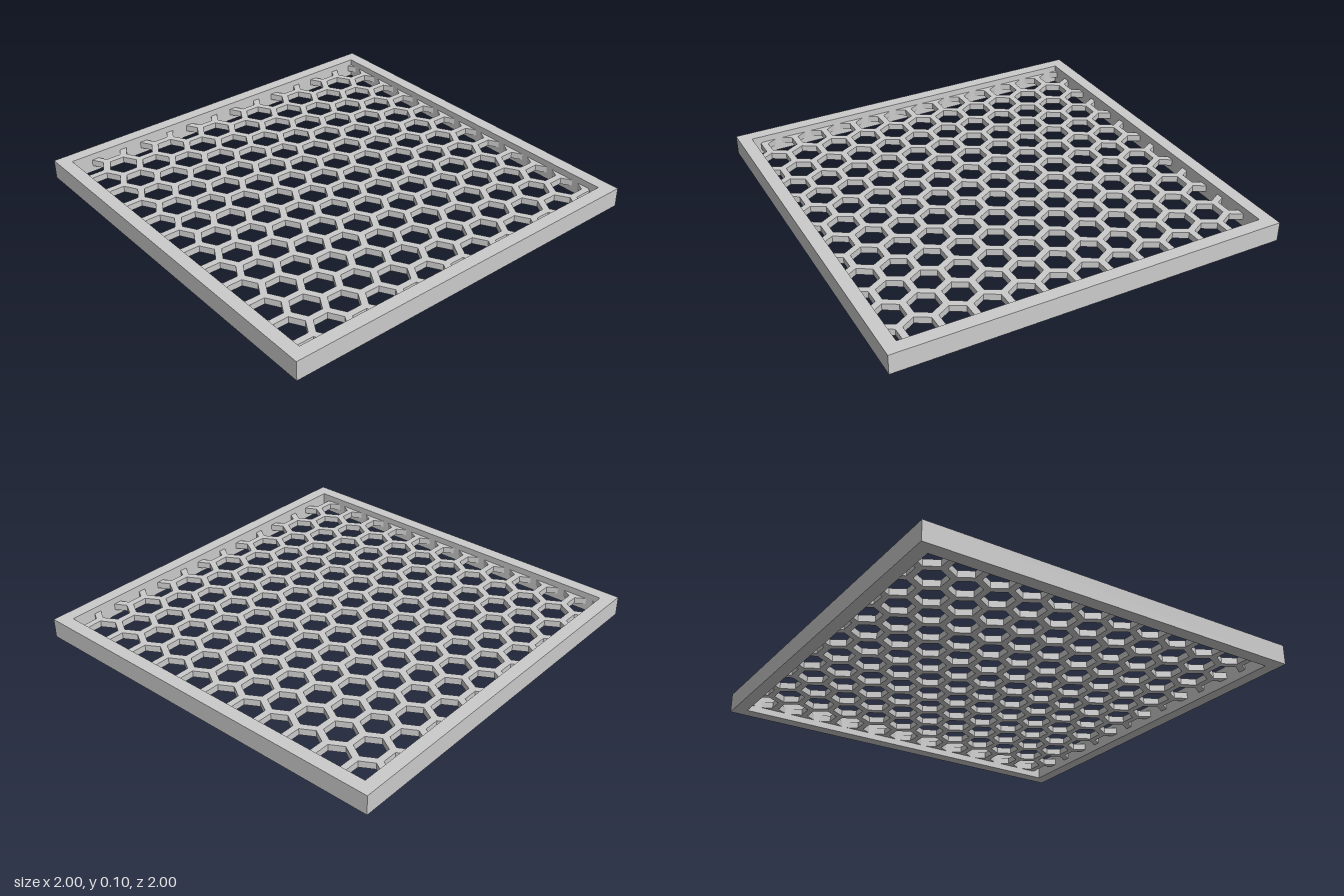
import * as THREE from 'three';

const HALF = 1, INNER = 14 / 15, HEIGHT = 0.1;   // outer frame
const PITCH = 1 / 6, WALL = 1 / 30;              // honeycomb cells
const ROWS = 13, COLS = 12, ROW_STEP = PITCH * Math.sqrt(3) / 2;
const CLIP = 0.945, PLATE = 0.96;                // grille edge is buried in the frame

const material = new THREE.MeshStandardMaterial({ color: 0xcccccc, flatShading: true });

const rectangle = (h) => [[-h, -h], [h, -h], [h, h], [-h, h]].map(([x, y]) => new THREE.Vector2(x, y));

// Pointy-topped hexagonal opening
function hexagon(cx, cy) {
  const r = (PITCH - WALL) / Math.sqrt(3);
  return Array.from({ length: 6 }, (_, i) => {
    const a = Math.PI / 6 + i * Math.PI / 3;
    return new THREE.Vector2(cx + r * Math.cos(a), cy + r * Math.sin(a));
  });
}

// Open corner beside the last cell of the first and last rows
function cornerGap(cx, cy) {
  const s = Math.sign(cy), a = (PITCH - WALL) / 2, r = a * 2 / Math.sqrt(3);
  const left = cx - a, top = Math.abs(cy) + (PITCH + WALL) / 2 / Math.sqrt(3);
  return [
    [cx, Math.abs(cy) - r], [cx + a, Math.abs(cy) - r / 2], [cx + a, top + 0.06],
    [left - 0.06 * Math.sqrt(3), top + 0.06], [left, top], [left, Math.abs(cy) - r / 2],
  ].map(([x, y]) => new THREE.Vector2(x, s * y));
}

// Trim a polygon to the square |x|, |y| <= CLIP
function clip(points) {
  for (const axis of ['x', 'y']) for (const sign of [1, -1]) {
    const out = [];
    points.forEach((p, i) => {
      const q = points[(i + 1) % points.length];
      const dp = CLIP - sign * p[axis], dq = CLIP - sign * q[axis];
      if (dp >= 0) out.push(p);
      if (dp * dq < 0) out.push(p.clone().lerp(q, dp / (dp - dq)));
    });
    points = out;
  }
  return points;
}

// Flat slab with openings, lying between two heights
function slab(name, half, holes, y0, y1) {
  const shape = new THREE.Shape(rectangle(half));
  shape.holes = holes.map((points) => new THREE.Path(points));
  const geometry = new THREE.ExtrudeGeometry(shape, { depth: y1 - y0, bevelEnabled: false });
  geometry.rotateX(-Math.PI / 2).translate(0, y0, 0);
  const mesh = new THREE.Mesh(geometry, material);
  mesh.name = name;
  return mesh;
}

export function createModel() {
  const group = new THREE.Group();
  group.name = 'honeycombPanel';

  // Square border
  group.add(slab('frame', HALF, [rectangle(INNER)], 0, HEIGHT));

  // Staggered rows of cells, set back from both faces of the frame
  const cells = [];
  for (let row = 0; row < ROWS; row++) {
    const y = (row - (ROWS - 1) / 2) * ROW_STEP;
    const start = row % 2 ? -5.75 * PITCH : -5.25 * PITCH;
    for (let col = 0; col < COLS; col++) {
      const x = start + col * PITCH;
      const corner = col === COLS - 1 && (row === 0 || row === ROWS - 1);
      cells.push(clip(corner ? cornerGap(x, y) : hexagon(x, y)));
    }
  }
  group.add(slab('honeycombGrille', PLATE, cells, HEIGHT / 3, HEIGHT * 2 / 3));

  return group;
}
